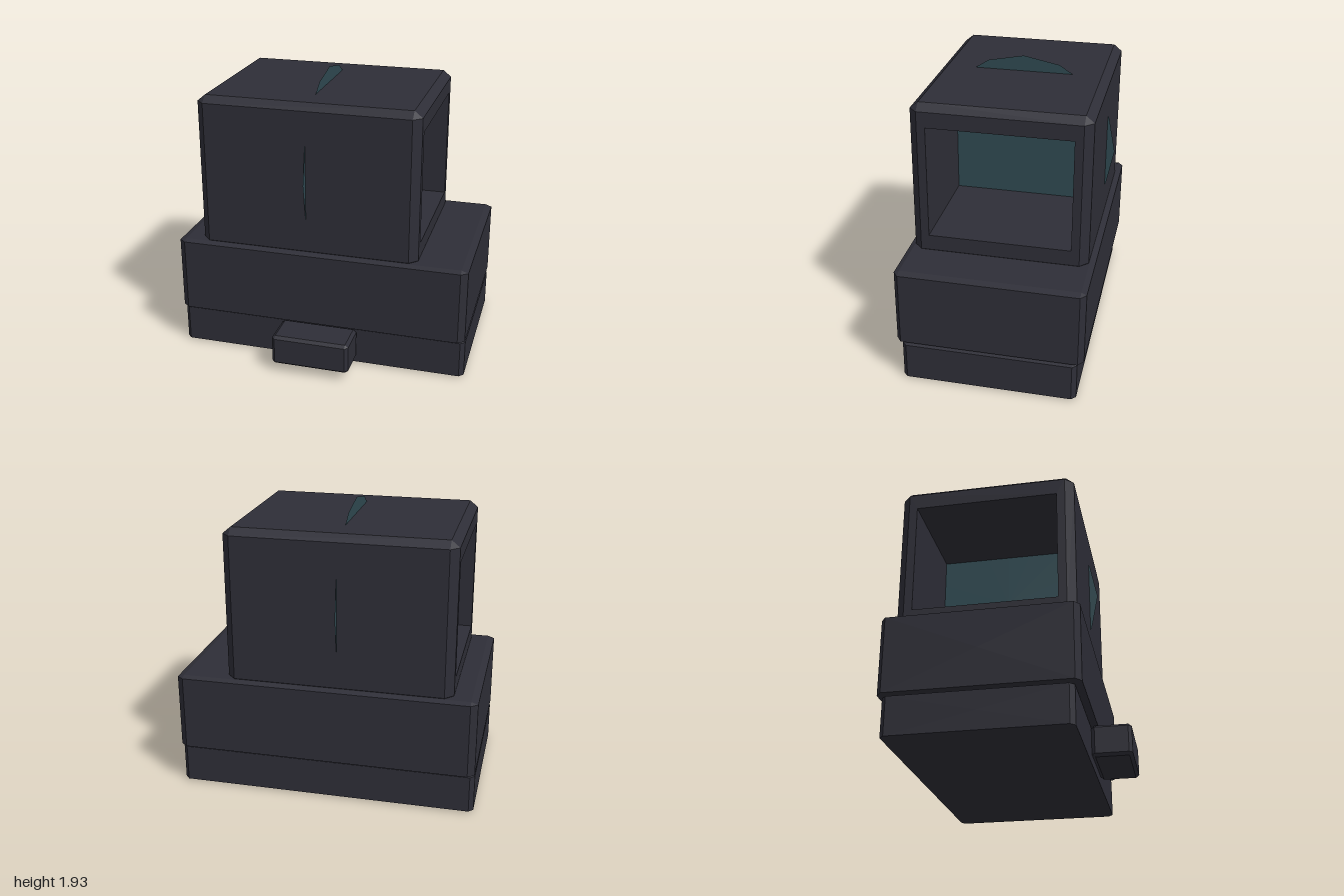
import * as THREE from 'three';

// Chamfered block skinned from eight-point rings along x.
// size, chamfer: [x, y, z]; hole: [y, z] of an optional tunnel running along x.
function chamferedBlock([sx, sy, sz], [cx, cy, cz], hole) {
  const hx = sx / 2, hy = sy / 2, hz = sz / 2;
  // octagon with half sizes y, z and corner cuts a, b (zero cuts give a rectangle)
  const ring = (x, y, z, a = 0, b = 0) => [
    [x, y, z - b], [x, y - a, z], [x, a - y, z], [x, -y, z - b],
    [x, -y, b - z], [x, a - y, -z], [x, y - a, -z], [x, y, b - z],
  ];
  const [iy, iz] = hole ? [hole[0] / 2, hole[1] / 2] : [0, 0];
  const rings = [
    ring(hx, iy, iz),
    ring(hx, hy - cy, hz - cz),
    ring(hx - cx, hy, hz, cy, cz),
    ring(cx - hx, hy, hz, cy, cz),
    ring(-hx, hy - cy, hz - cz),
    ring(-hx, iy, iz),
  ];
  if (hole) rings.push(rings[0]); // tunnel walls

  const positions = [];
  const same = (p, q) => p.every((v, i) => Math.abs(v - q[i]) < 1e-6);
  const triangle = (a, b, c) => {
    if (!same(a, b) && !same(b, c) && !same(c, a)) positions.push(...a, ...b, ...c);
  };
  for (let r = 0; r < rings.length - 1; r++) {
    for (let i = 0; i < 8; i++) {
      const j = (i + 1) % 8;
      const a = rings[r][i], b = rings[r][j], c = rings[r + 1][j], d = rings[r + 1][i];
      triangle(a, d, c);
      triangle(a, c, b);
    }
  }
  const geometry = new THREE.BufferGeometry();
  geometry.setAttribute('position', new THREE.Float32BufferAttribute(positions, 3));
  geometry.computeVertexNormals(); // unshared corners keep every facet flat
  return geometry;
}

export function createModel() {
  const model = new THREE.Group();
  model.name = 'machine';

  const casing = new THREE.MeshStandardMaterial({ color: 0x2e2e37 });
  casing.name = 'dark casing';
  const teal = new THREE.MeshStandardMaterial({ color: 0x2f4951, side: THREE.DoubleSide });
  teal.name = 'dark teal';

  const add = (name, geometry, material, x, y, z) => {
    const mesh = new THREE.Mesh(geometry, material);
    mesh.name = name;
    mesh.position.set(x, y, z);
    model.add(mesh);
    return mesh;
  };

  // Stacked base, body and front ledge
  add('base', chamferedBlock([2, 0.27, 1.16], [0.03, 0.01, 0.03]), casing, 0, 0.135, -0.1);
  add('body', chamferedBlock([2, 0.53, 1.24], [0.045, 0.015, 0.035]), casing, 0, 0.535, -0.1);
  add('frontLedge', chamferedBlock([0.53, 0.21, 0.26], [0.022, 0.018, 0.022]), casing, 0, 0.165, 0.61);

  // Upper housing, open right through from side to side
  add('tunnelHousing', chamferedBlock([1.5, 1.06, 1.16], [0.055, 0.045, 0.055], [0.76, 0.94]),
    casing, -0.09, 1.29, -0.1);

  // Flat disc across the tunnel, its rim poking through the walls
  const disc = add('portalDisc', new THREE.CircleGeometry(0.637, 16), teal, -0.09, 1.29, -0.1);
  disc.rotation.y = Math.PI / 2;

  return model;
}
